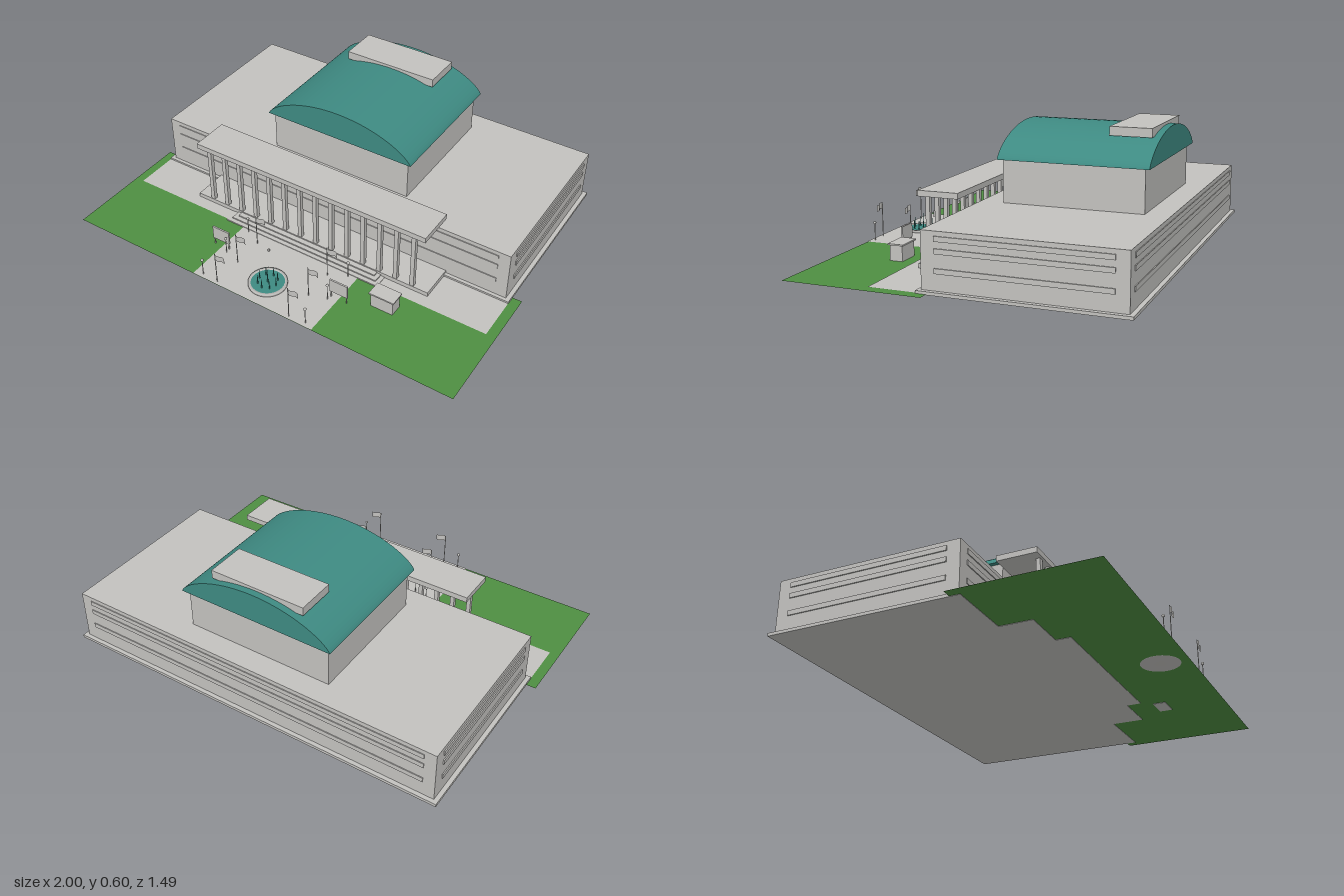
import * as THREE from 'three';

export function createModel() {
  const model = new THREE.Group();
  const mat = (name, color, side = THREE.FrontSide) => {
    const m = new THREE.MeshStandardMaterial({ color, side });
    m.name = name;
    return m;
  };
  const stone = mat('stone grey', 0xc3c2bf);
  const cloth = mat('flag grey', 0xc3c2bf, THREE.DoubleSide);
  const teal = mat('copper teal', 0x3e8a82);
  const grass = mat('grass green', 0x4f8f42, THREE.DoubleSide);

  const add = (name, geometry, material, x = 0, y = 0, z = 0, parent = model) => {
    const mesh = new THREE.Mesh(geometry, material);
    mesh.name = name;
    mesh.position.set(x, y, z);
    parent.add(mesh);
    return mesh;
  };
  // box given by its limits on each axis
  const box = (name, x0, x1, y0, y1, z0, z1, material = stone, parent = model) =>
    add(name, new THREE.BoxGeometry(x1 - x0, y1 - y0, z1 - z0), material,
      (x0 + x1) / 2, (y0 + y1) / 2, (z0 + z1) / 2, parent);
  const group = (name) => {
    const g = new THREE.Group();
    g.name = name;
    model.add(g);
    return g;
  };
  const plane = (name, x0, x1, y, z0, z1, material) => {
    const g = new THREE.PlaneGeometry(x1 - x0, z1 - z0).rotateX(-Math.PI / 2);
    return add(name, g, material, (x0 + x1) / 2, y, (z0 + z1) / 2);
  };

  // grounds
  plane('lawn', -1, 1, 0.002, 0.1, 0.74, grass);
  plane('forecourt paving', -0.955, 0.955, 0.005, 0.12, 0.36, stone);
  plane('plaza paving', -0.32, 0.32, 0.005, 0.36, 0.74, stone);

  // main hall
  box('plinth', -0.955, 0.955, 0, 0.014, -0.747, 0.147);
  box('hall', -0.935, 0.935, 0.014, 0.257, -0.727, 0.13);
  const bands = group('wall bands');
  for (const y of [0.085, 0.165, 0.215]) {
    for (const s of [-1, 1]) {
      box('side band', s * 0.9375 - 0.0025, s * 0.9375 + 0.0025, y, y + 0.022, -0.67, 0.07, stone, bands);
    }
    box('front band', -0.88, 0.88, y, y + 0.022, 0.13, 0.134, stone, bands);
    box('back band', -0.88, 0.88, y, y + 0.022, -0.731, -0.727, stone, bands);
  }

  // upper hall with vaulted roof
  box('upper hall', -0.362, 0.362, 0.257, 0.452, -0.617, 0.022);
  const vault = new THREE.Shape();
  vault.moveTo(-0.384, 0);
  vault.lineTo(0.384, 0);
  const steps = 40;
  for (let i = 1; i < steps; i++) {
    const c = Math.cos((i / steps) * Math.PI);
    vault.lineTo(0.384 * c, 0.137 * Math.pow(1 - c * c, 0.7));
  }
  vault.closePath();
  add('vaulted roof', new THREE.ExtrudeGeometry(vault, { depth: 0.682, bevelEnabled: false }),
    teal, 0, 0.45, -0.64);
  box('roof plant box', -0.234, 0.234, 0.56, 0.6, -0.608, -0.418);

  // portico and steps
  box('portico floor', -0.638, 0.638, 0, 0.026, 0.12, 0.3);
  [[0.325, 0.02], [0.347, 0.014], [0.368, 0.008]].forEach(([z, y], i) =>
    box('step', -0.38 - i * 0.02, 0.38 + i * 0.02, 0, y, 0.3, z));
  box('canopy', -0.616, 0.616, 0.314, 0.34, 0.12, 0.308);
  const columns = group('columns');
  for (let i = 0; i < 14; i++) {
    const x = -0.555 + (i * 1.11) / 13;
    box('column', x - 0.01, x + 0.01, 0.026, 0.314, 0.278, 0.298, stone, columns);
  }

  // fountain
  const fountain = group('fountain');
  const rim = [[0, 0], [0.089, 0], [0.089, 0.016], [0.077, 0.016], [0.077, 0.008]]
    .map(([r, y]) => new THREE.Vector2(r, y));
  add('basin', new THREE.LatheGeometry(rim, 32), stone, 0, 0, 0.61, fountain);
  add('water', new THREE.CylinderGeometry(0.077, 0.077, 0.004, 32), teal, 0, 0.01, 0.61, fountain);
  const jet = (x, z, h) =>
    add('water jet', new THREE.CylinderGeometry(0.001, 0.003, h, 8), teal, x, 0.01 + h / 2, z, fountain);
  jet(0, 0.61, 0.075);
  for (let i = 0; i < 8; i++) {
    const a = (i * Math.PI) / 4;
    jet(0.045 * Math.cos(a), 0.61 + 0.045 * Math.sin(a), 0.05);
  }

  // lamps, flags and sign boards on both sides of the plaza
  const post = (name, x, z, h, r, parent) =>
    add(name, new THREE.CylinderGeometry(r, r, h, 8), stone, x, 0.004 + h / 2, z, parent);
  const lamps = group('lamps');
  const flags = group('flags');
  const signs = group('sign boards');
  for (const s of [-1, 1]) {
    for (const z of [0.382, 0.55, 0.72]) {
      post('lamp post', s * 0.278, z, 0.08, 0.002, lamps);
      add('lamp globe', new THREE.SphereGeometry(0.007, 12, 8), stone, s * 0.278, 0.088, z, lamps);
    }
    for (const z of [0.425, 0.575, 0.725]) {
      post('flag pole', s * 0.195, z, 0.167, 0.002, flags);
      const g = new THREE.PlaneGeometry(0.052, 0.03, 8, 1);
      const p = g.attributes.position;
      for (let i = 0; i < p.count; i++) {
        const t = p.getX(i) / 0.052 + 0.5;
        p.setZ(i, 0.005 * Math.sin(t * Math.PI * 2));
        p.setY(i, p.getY(i) - 0.006 * t);
      }
      g.computeVertexNormals();
      add('flag', g, cloth, s * 0.195 + 0.026, 0.155, z, flags);
    }
    box('sign panel', s * 0.322 - 0.046, s * 0.322 + 0.046, 0.038, 0.105, 0.522, 0.53, stone, signs);
    for (const d of [-0.04, 0.04]) post('sign post', s * 0.322 + d, 0.526, 0.05, 0.003, signs);
  }
  box('plaza marker', -0.125, -0.117, 0.004, 0.016, 0.434, 0.442);

  // kiosk on the right-hand lawn of the plan
  box('kiosk', 0.455, 0.565, 0, 0.073, 0.417, 0.478);
  box('kiosk roof', 0.448, 0.572, 0.073, 0.08, 0.41, 0.485);

  return model;
}
